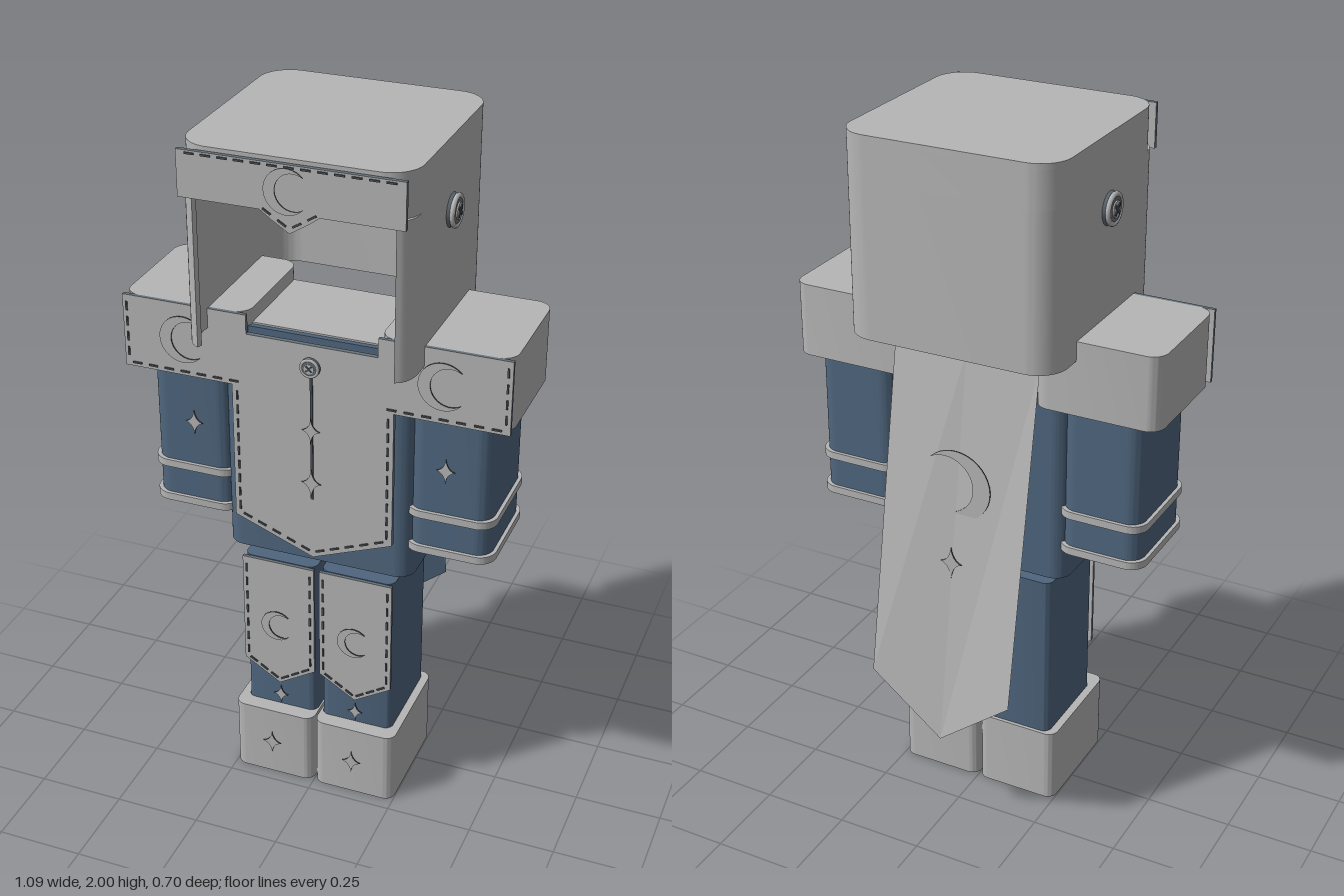
import * as THREE from 'three';
import { toCreasedNormals } from 'three/addons/utils/BufferGeometryUtils.js';

const mat = (name, color, side = THREE.FrontSide) => {
  const m = new THREE.MeshStandardMaterial({ color, side });
  m.name = name;
  return m;
};

export function createModel() {
  const grey = mat('plate grey', 0xb6b6b6);
  const blue = mat('cloth blue', 0x4f667e);
  const edge = mat('plate edge', 0x66717a);
  const dark = mat('stitch dark', 0x4a5056);
  const model = new THREE.Group();

  const add = (name, geo, material, parent = model) => {
    const m = new THREE.Mesh(geo, material);
    m.name = name;
    parent.add(m);
    return m;
  };

  // Rounded rectangle seen from above (shape y is -z)
  const trace = (p, x0, x1, z0, z1, r) => {
    const a = -z1, b = -z0;
    p.moveTo(x0 + r, a);
    p.lineTo(x1 - r, a); p.absarc(x1 - r, a + r, r, -Math.PI / 2, 0);
    p.lineTo(x1, b - r); p.absarc(x1 - r, b - r, r, 0, Math.PI / 2);
    p.lineTo(x0 + r, b); p.absarc(x0 + r, b - r, r, Math.PI / 2, Math.PI);
    p.lineTo(x0, a + r); p.absarc(x0 + r, a + r, r, Math.PI, Math.PI * 1.5);
    return p;
  };
  const rise = (shape, y0, y1) => {
    const g = new THREE.ExtrudeGeometry(shape, { depth: y1 - y0, bevelEnabled: false, curveSegments: 8 });
    g.rotateX(-Math.PI / 2).translate(0, y0, 0);
    return toCreasedNormals(g, 0.6);
  };
  const block = (x0, x1, y0, y1, z0, z1, r) => rise(trace(new THREE.Shape(), x0, x1, z0, z1, r), y0, y1);
  const ring = (o, i, y0, y1) => {
    const s = trace(new THREE.Shape(), ...o);
    s.holes.push(trace(new THREE.Path(), ...i));
    return rise(s, y0, y1);
  };

  // Flat plate facing +z
  const flat = (shape, z, depth) =>
    new THREE.ExtrudeGeometry(shape, { depth, bevelEnabled: false, curveSegments: 14 }).translate(0, 0, z);
  const plate = (name, pts, z, depth = 0.01) =>
    add(name, flat(new THREE.Shape(pts.map(p => new THREE.Vector2(...p))), z, depth), [grey, edge]);

  // Row of stitches along a path
  const stitches = (name, pts, z) => {
    const g = new THREE.Group();
    g.name = name;
    for (let i = 0; i + 1 < pts.length; i++) {
      const [ax, ay] = pts[i], [bx, by] = pts[i + 1];
      const len = Math.hypot(bx - ax, by - ay), n = Math.max(1, Math.round(len / 0.045));
      for (let k = 0; k < n; k++) {
        const t = (k + 0.5) / n;
        const m = add('stitch', new THREE.BoxGeometry(0.026, 0.005, 0.004), dark, g);
        m.position.set(ax + (bx - ax) * t, ay + (by - ay) * t, z);
        m.rotation.z = Math.atan2(by - ay, bx - ax);
      }
    }
    model.add(g);
  };

  const crescent = (name, x, y, z, r) => {
    const a = 0.75, c = 0.3 * r, tx = r * Math.cos(a), ty = r * Math.sin(a);
    const b = Math.atan2(ty, tx - c), s = new THREE.Shape();
    s.absarc(0, 0, r, a, Math.PI * 2 - a, false);
    s.absarc(c, 0, Math.hypot(tx - c, ty), Math.PI * 2 - b, b, true);
    add(name, flat(s, 0, 0.004), [grey, dark]).position.set(x, y, z);
  };
  const star = (name, x, y, z, rx = 0.026, ry = 0.036) => {
    const s = new THREE.Shape();
    s.moveTo(rx, 0);
    [[0, ry], [-rx, 0], [0, -ry], [rx, 0]].forEach(([px, py], i) => {
      const sx = i === 0 || i === 3 ? 1 : -1, sy = i < 2 ? 1 : -1;
      s.quadraticCurveTo(sx * rx * 0.15, sy * ry * 0.15, px, py);
    });
    add(name, flat(s, 0, 0.004), [grey, dark]).position.set(x, y, z);
  };
  // Round cross-head stud, facing local +z
  const stud = (name, r) => {
    const g = new THREE.Group();
    g.name = name;
    add('studDisc', new THREE.CylinderGeometry(r * 0.75, r, r * 0.4, 24).rotateX(Math.PI / 2), edge, g);
    add('studRim', new THREE.TorusGeometry(r * 0.85, r * 0.16, 8, 24), grey, g).position.z = r * 0.1;
    add('studFace', new THREE.CylinderGeometry(r * 0.5, r * 0.5, r * 0.2, 20).rotateX(Math.PI / 2), grey, g).position.z = r * 0.18;
    for (const s of [-1, 1])
      add('studCross', new THREE.BoxGeometry(r * 0.8, r * 0.16, 0.004), dark, g)
        .position.z = r * 0.29, g.children.at(-1).rotation.z = s * Math.PI / 4;
    model.add(g);
    return g;
  };

  // Helmet: open-faced wall, brow ring and lid
  const H = [-0.31, 0.31, -0.295, 0.317, 0.085], HI = [-0.295, 0.295, -0.28, 0.302, 0.07];
  const u = new THREE.Shape();
  u.moveTo(0.27, -0.315);
  u.quadraticCurveTo(0.31, -0.3, 0.31, -0.235);
  u.lineTo(0.31, 0.21); u.absarc(0.225, 0.21, 0.085, 0, Math.PI / 2);
  u.lineTo(-0.225, 0.295); u.absarc(-0.225, 0.21, 0.085, Math.PI / 2, Math.PI);
  u.lineTo(-0.31, -0.235); u.quadraticCurveTo(-0.31, -0.3, -0.27, -0.315);
  u.lineTo(-0.265, -0.3); u.quadraticCurveTo(-0.295, -0.285, -0.295, -0.235);
  u.lineTo(-0.295, 0.21); u.absarc(-0.225, 0.21, 0.07, Math.PI, Math.PI / 2, true);
  u.lineTo(0.225, 0.28); u.absarc(0.225, 0.21, 0.07, Math.PI / 2, 0, true);
  u.lineTo(0.295, -0.235); u.quadraticCurveTo(0.295, -0.285, 0.265, -0.3);
  add('helmetWall', rise(u, 1.445, 1.88), grey);
  add('helmetBrow', ring(H, HI, 1.88, 1.985), grey);
  add('helmetLid', block(H[0], H[1], 1.985, 2, H[2], H[3], H[4]), grey);
  plate('browPlate', [[-0.3, 1.99], [-0.3, 1.865], [-0.08, 1.865], [-0.045, 1.84], [0, 1.812],
    [0.045, 1.84], [0.08, 1.865], [0.3, 1.865], [0.3, 1.99]].reverse(), 0.32, 0.012);
  stitches('browStitches', [[-0.285, 1.983], [0.285, 1.983]], 0.333);
  stitches('browPointStitches', [[-0.08, 1.875], [0, 1.825], [0.08, 1.875]], 0.333);
  crescent('browCrescent', 0, 1.928, 0.348, 0.06);
  for (const s of [-1, 1]) {
    const k = stud('helmetStud', 0.046);
    k.position.set(s * 0.32, 1.8, 0.015);
    k.rotation.y = s * Math.PI / 2;
  }

  // Torso and tabard
  add('torso', block(-0.275, 0.275, 0.762, 1.455, -0.138, 0.17, 0.05), blue);
  add('torsoCap', block(-0.265, 0.265, 1.455, 1.46, -0.13, 0.155, 0.045), grey);
  plate('tabard', [[-0.23, 1.445], [-0.23, 0.88], [0, 0.79], [0.23, 0.88], [0.23, 1.445]], 0.186, 0.014);
  stitches('tabardStitches', [[-0.215, 1.28], [-0.215, 0.892], [0, 0.807], [0.215, 0.892], [0.215, 1.28]], 0.202);
  add('tabardSeam', new THREE.BoxGeometry(0.007, 0.38, 0.004), dark).position.set(0, 1.17, 0.202);
  star('tabardStar', 0, 1.195, 0.206);
  star('tabardStar', 0, 1.033, 0.206, 0.028, 0.042);
  stud('tabardStud', 0.028).position.set(0, 1.385, 0.211);

  for (const s of [-1, 1]) {
    const span = (a, b) => s > 0 ? [a, b] : [-b, -a];

    // Arm, cuffs and shoulder guard
    const [a0, a1] = span(0.258, 0.492);
    add('arm', block(a0, a1, 0.853, 1.3, -0.135, 0.158, 0.045), blue);
    for (const y of [0.868, 0.978])
      add('cuff', ring([a0 - 0.01, a1 + 0.01, -0.145, 0.168, 0.05],
        [a0 + 0.01, a1 - 0.01, -0.125, 0.148, 0.04], y - 0.011, y + 0.011), grey);
    star('armStar', s * 0.365, 1.125, 0.162);
    const [p0, p1] = span(0.185, 0.545);
    add('shoulderGuard', block(p0, p1, 1.29, 1.5, -0.163, 0.19, 0.045), grey);
    plate('shoulderPlate', [[p0, 1.288], [p1, 1.288], [p1, 1.5], [p0, 1.5]], 0.189, 0.011);
    const [q0, q1] = span(0.2, 0.533);
    stitches('shoulderStitches', [[q0, 1.3], [q1, 1.3]], 0.202);
    stitches('shoulderSideStitches', [[s * 0.533, 1.31], [s * 0.533, 1.49]], 0.202);
    crescent('shoulderCrescent', s * 0.365, 1.4, 0.208, 0.068);

    // Leg, thigh plate and boot
    const [l0, l1] = span(0.008, 0.225), mid = (l0 + l1) / 2;
    add('leg', block(l0, l1, 0.012, 0.727, -0.12, 0.165, 0.025), blue);
    plate('thighPlate', [[l0, 0.727], [l0, 0.375], [mid, 0.308], [l1, 0.375], [l1, 0.727]], 0.168);
    stitches('thighStitches', [[l0 + 0.012, 0.715], [l0 + 0.012, 0.383], [mid, 0.322],
      [l1 - 0.012, 0.383], [l1 - 0.012, 0.715]], 0.18);
    crescent('thighCrescent', mid, 0.52, 0.19, 0.048);
    star('legStar', mid, 0.262, 0.17, 0.022, 0.03);
    const [b0, b1] = span(0.003, 0.248);
    add('boot', ring([b0, b1, -0.13, 0.213, 0.03], [l0, l1, -0.118, 0.168, 0.024], 0, 0.225), grey);
    star('bootStar', s * 0.125, 0.12, 0.224, 0.028, 0.036);
  }

  // Cape: grey outside, blue lining, slightly creased along the middle
  const cape = (dz, flip) => {
    const w = 0.215, g = new THREE.BufferGeometry();
    g.setAttribute('position', new THREE.Float32BufferAttribute([
      -w, 1.415, dz - 0.175, 0, 1.415, dz - 0.175, w, 1.415, dz - 0.175,
      -w, 0.45, dz - 0.35, 0, 0.28, dz - 0.35, w, 0.45, dz - 0.35], 3));
    const out = [0, 1, 4, 0, 4, 3, 1, 2, 5, 1, 5, 4];
    g.setIndex(flip ? out.reverse() : out);
    const flatGeo = g.toNonIndexed();
    flatGeo.computeVertexNormals();
    return flatGeo;
  };
  add('capeOuter', cape(-0.003, false), grey);
  add('capeLining', cape(0.003, true), blue);
  crescent('capeCrescent', 0, 1.045, -0.248, 0.105);
  star('capeStar', 0, 0.82, -0.278, 0.032, 0.048);

  return model;
}
